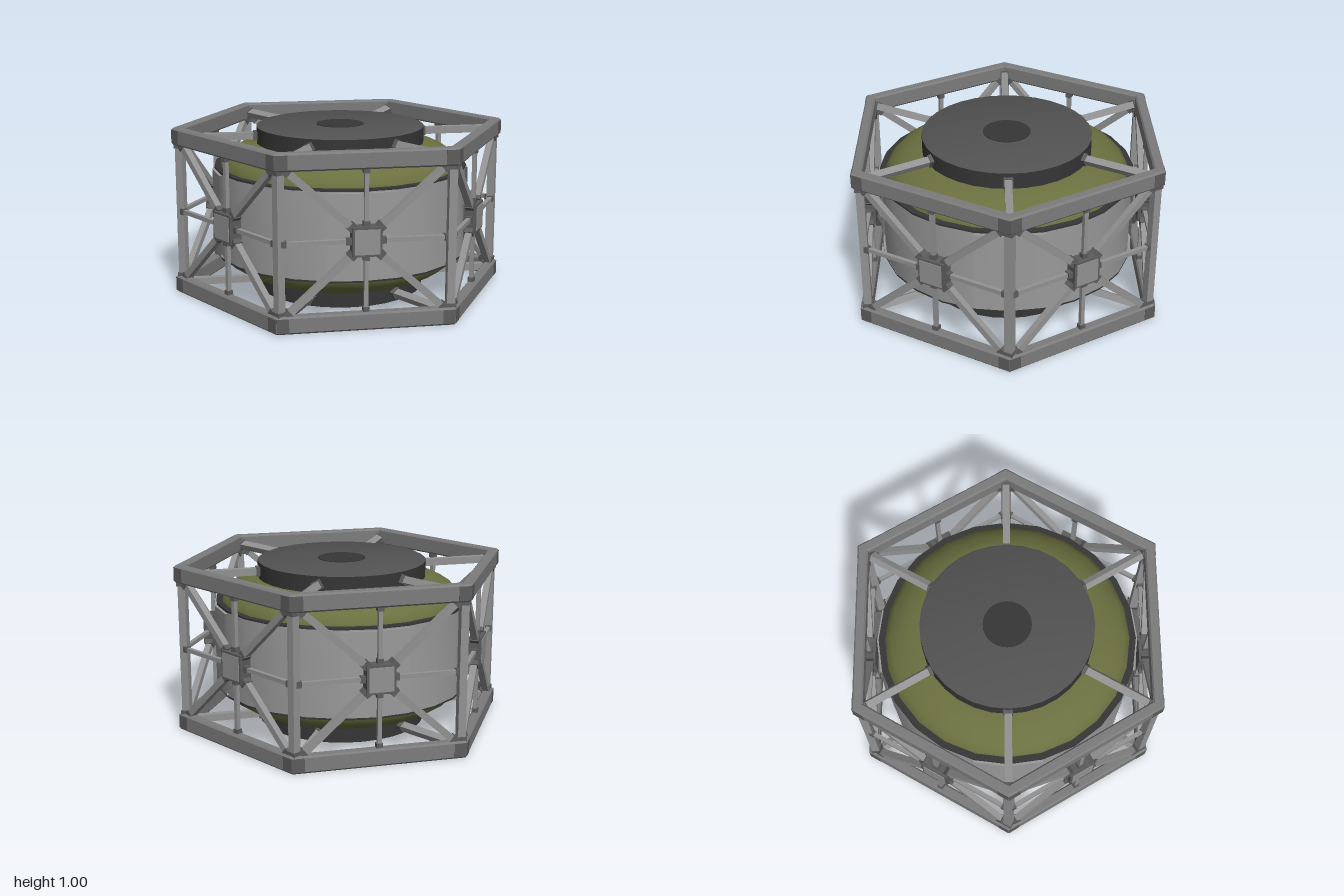
import * as THREE from 'three';
import { toCreasedNormals } from 'three/addons/utils/BufferGeometryUtils.js';

const paint = (name, color, side = THREE.FrontSide) => {
  const m = new THREE.MeshStandardMaterial({ color, side });
  m.name = name;
  return m;
};

export function createModel() {
  const frameGrey = paint('frame grey', 0x7c7c7c);
  const strutGrey = paint('strut grey', 0x929292);
  const wallGrey = paint('wall grey', 0x9a9a9a, THREE.DoubleSide);
  const olive = paint('olive', 0x6b7040);
  const discGrey = paint('disc grey', 0x525252);
  const fittingGrey = paint('fitting grey', 0x5c5c5c);
  const dark = paint('dark grey', 0x363636);

  const model = new THREE.Group();
  model.name = 'framedTank';
  // everything is built about the mid height, then lifted
  const body = new THREE.Group();
  body.name = 'body';
  body.position.y = 0.5;
  model.add(body);

  const add = (parent, name, geo, mat, x = 0, y = 0, z = 0) => {
    const mesh = new THREE.Mesh(geo, mat);
    mesh.name = name;
    mesh.position.set(x, y, z);
    parent.add(mesh);
    return mesh;
  };
  const lathe = (pts, segments, start = 0, length = Math.PI * 2) => toCreasedNormals(
    new THREE.LatheGeometry(pts.map(p => new THREE.Vector2(...p)), segments, start, length), 0.6);

  // square bar between two points, with a dark socket at each end
  const strut = (parent, name, a, b, w, sockets = true) => {
    const p = new THREE.Vector3(...a), q = new THREE.Vector3(...b);
    const dir = q.clone().sub(p), len = dir.length();
    const bar = new THREE.Group();
    bar.name = name;
    bar.position.copy(p).lerp(q, 0.5);
    bar.quaternion.setFromUnitVectors(new THREE.Vector3(0, 1, 0), dir.normalize());
    add(bar, name + 'Bar', new THREE.BoxGeometry(w, len, w), strutGrey);
    if (sockets) for (const s of [-1, 1]) {
      add(bar, name + 'Socket', new THREE.BoxGeometry(w + 0.012, 0.03, w + 0.012), fittingGrey, 0, s * (len / 2 - 0.015), 0);
    }
    parent.add(bar);
  };

  // drum wall and four raised panels
  add(body, 'drumWall', lathe([[0.75, -0.26], [0.75, 0.26]], 24), wallGrey);
  for (let i = 0; i < 4; i++) {
    add(body, 'drumPanel', lathe([[0.74, -0.245], [0.766, -0.245], [0.766, 0.245], [0.74, 0.245]], 2,
      i * Math.PI / 2 - Math.PI / 12, Math.PI / 6), wallGrey);
  }

  // upper and lower halves: dome, cap disc, hexagonal ring and spokes
  for (const up of [true, false]) {
    const half = new THREE.Group();
    half.name = up ? 'upperHalf' : 'lowerHalf';
    if (!up) half.rotation.x = Math.PI;
    body.add(half);

    add(half, 'drumRim', lathe([[0.755, 0.253], [0.755, 0.264], [0.7, 0.264]], 24), dark);
    add(half, 'dome', lathe([[0.72, 0.25], [0.715, 0.28], [0.68, 0.32], [0.62, 0.36], [0.55, 0.388], [0.44, 0.4]], 24), olive);
    add(half, 'capRim', new THREE.CylinderGeometry(0.5, 0.5, 0.1, 32, 1, true), dark, 0, 0.44, 0);
    add(half, 'capDisc', lathe([[0.5, 0.49], [0.49, 0.495], [0, 0.495]], 32), discGrey);
    add(half, 'capCentre', new THREE.CylinderGeometry(0.14, 0.14, 0.004, 32), dark, 0, 0.497, 0);

    add(half, 'hexRing', lathe([
      [0.93, 0.41], [0.94, 0.4], [0.99, 0.4], [1, 0.41], [1, 0.49], [0.99, 0.5],
      [0.94, 0.5], [0.93, 0.49], [0.93, 0.41],
    ], 6, Math.PI / 2), frameGrey);

    for (let i = 0; i < 6; i++) {
      const c = Math.cos(i * Math.PI / 3), s = Math.sin(i * Math.PI / 3);
      strut(half, 'spoke', [0.49 * c, 0.44, 0.49 * s], [0.94 * c, 0.44, 0.94 * s], 0.042);
    }
  }

  // six side faces: post, hub box and braces
  const apothem = Math.sqrt(3) / 2;
  for (let i = 0; i < 6; i++) {
    const face = new THREE.Group();
    face.name = 'sideFace';
    face.rotation.y = i * Math.PI / 3;
    body.add(face);

    const z = 0.828;
    add(face, 'hubBox', new THREE.BoxGeometry(0.165, 0.165, 0.075), fittingGrey, 0, 0, z);
    add(face, 'hubCover', new THREE.BoxGeometry(0.14, 0.14, 0.008), strutGrey, 0, 0, z + 0.038);
    strut(face, 'cornerPost', [0.476, -0.41, 0.824], [0.476, 0.41, 0.824], 0.046);
    for (const s of [-1, 1]) {
      strut(face, 'sideBrace', [s * 0.08, 0, z], [s * 0.465, 0, z], 0.024);
      strut(face, 'uprightBrace', [0, s * 0.08, z], [0, s * 0.405, z], 0.024);
      for (const t of [-1, 1]) {
        strut(face, 'diagonalBrace', [s * 0.07, t * 0.07, z], [s * 0.44, t * 0.405, z], 0.038);
        // corner plates on the ring
        add(face, 'cornerPlate', new THREE.BoxGeometry(0.07, 0.08, 0.004), fittingGrey, s * 0.464, t * 0.45, apothem);
      }
    }
  }
  return model;
}
